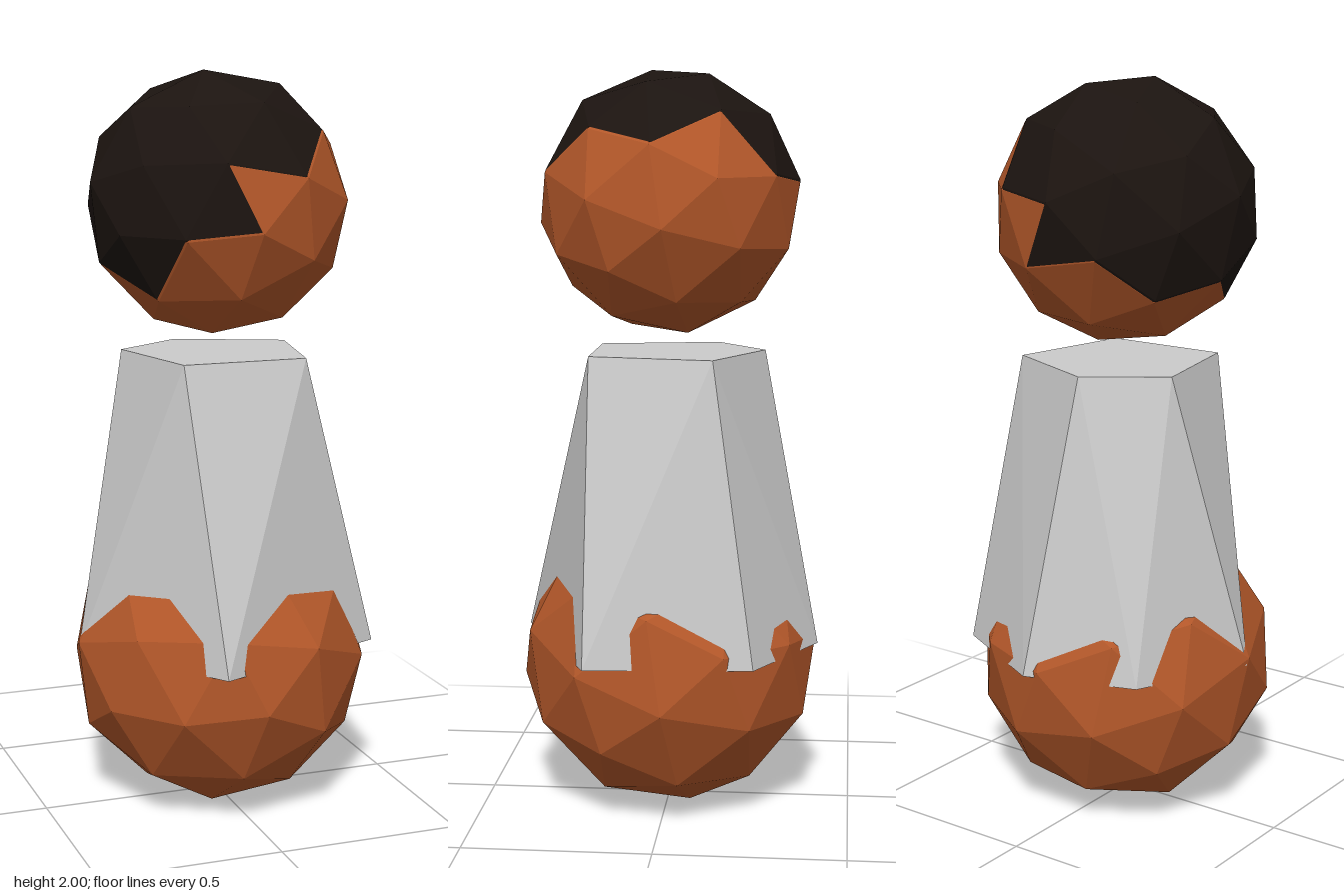
import * as THREE from 'three';
import { ConvexGeometry } from 'three/addons/geometries/ConvexGeometry.js';

const material = (color) => new THREE.MeshStandardMaterial({ color, flatShading: true });

function add(group, name, geometry, mat, x = 0, y = 0, z = 0) {
  const mesh = new THREE.Mesh(geometry, mat);
  mesh.name = name;
  mesh.position.set(x, y, z);
  group.add(mesh);
  return mesh;
}

// Faceted ball, tilted so that one edge midpoint of the icosahedron points down
function tiltedBall(radius) {
  const down = new THREE.Vector3(0.146, -0.978, -0.153).normalize();
  const side = new THREE.Vector3(-0.53, -0.212, 0.848);
  const depth = new THREE.Vector3().crossVectors(side, down).normalize();
  side.crossVectors(down, depth);
  const tilt = new THREE.Matrix4().makeBasis(side, down, depth);
  return new THREE.IcosahedronGeometry(radius, 1).applyMatrix4(tilt);
}

export function createModel() {
  const model = new THREE.Group();
  model.name = 'figure';
  const skin = material(0xb4582a);
  const hairColor = material(0x1c1410);
  const grey = material(0xcccccc);

  // Rounded base
  add(model, 'base', tiltedBall(0.41), skin, 0, 0.402, 0);

  // Tapered body: five corners on top, six at the hem
  const top = [[-0.165, 0.205], [0.18, 0.2], [0.25, -0.135], [-0.035, -0.26], [-0.235, -0.12]];
  const hem = [[-0.115, 0.41], [0.385, 0.195], [0.35, -0.25], [0.04, -0.412], [-0.26, -0.312], [-0.402, 0.005]];
  const corners = [
    ...top.map(([x, z]) => new THREE.Vector3(x, 1.25, z)),
    ...hem.map(([x, z]) => new THREE.Vector3(x, 0.45, z)),
  ];
  add(model, 'body', new ConvexGeometry(corners), grey);

  // Head, and hair as the same ball nudged up, sideways and back
  add(model, 'head', tiltedBall(0.355), skin, 0, 1.65, 0);
  add(model, 'hair', tiltedBall(0.355), hairColor, -0.005, 1.656, -0.0012);

  return model;
}
